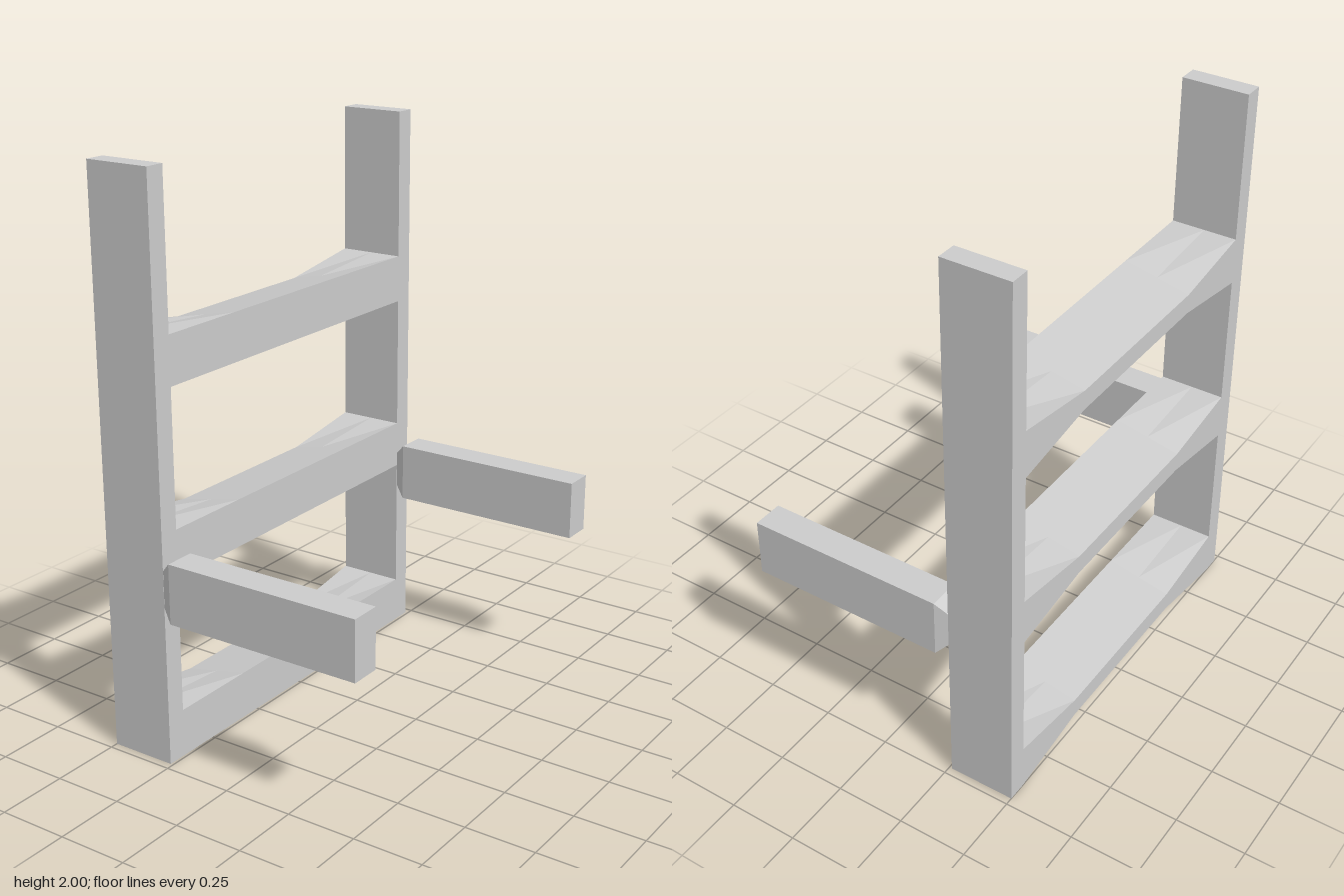
import * as THREE from 'three';

const material = new THREE.MeshStandardMaterial({ color: 0xcccccc, flatShading: true });

function addMesh(parent, name, geometry, x, y, z) {
  const mesh = new THREE.Mesh(geometry, material);
  mesh.name = name;
  mesh.position.set(x, y, z);
  parent.add(mesh);
  return mesh;
}

// Rung: full height along the front, thinning towards the back edge between its ends
function rungGeometry(width, height, length, thinning) {
  const geo = new THREE.BoxGeometry(width, height, length, 2, 1, 4);
  const p = geo.attributes.position;
  for (let i = 0; i < p.count; i++) {
    const atEnd = Math.abs(p.getZ(i)) > length * 0.4;
    const back = 0.5 - p.getX(i) / width;
    if (!atEnd) p.setY(i, p.getY(i) - Math.sign(p.getY(i)) * thinning * back);
  }
  geo.computeVertexNormals();
  return geo;
}

// Neck: box whose inner (-x) end is narrowed to meet the post
function neckGeometry(length, height, depth, innerHeight, innerDepth) {
  const geo = new THREE.BoxGeometry(length, height, depth);
  const p = geo.attributes.position;
  for (let i = 0; i < p.count; i++) {
    if (p.getX(i) > 0) continue;
    p.setY(i, Math.sign(p.getY(i)) * innerHeight / 2);
    p.setZ(i, Math.sign(p.getZ(i)) * innerDepth / 2);
  }
  geo.computeVertexNormals();
  return geo;
}

export function createModel() {
  const model = new THREE.Group();
  model.name = 'rackFrame';

  // Posts and projecting arms, one pair on each side
  for (const [side, s] of [['front', 1], ['back', -1]]) {
    addMesh(model, side + 'Post', new THREE.BoxGeometry(0.24, 2, 0.072), -0.38, 1, s * 0.686);

    const arm = new THREE.Group();
    arm.name = side + 'Arm';
    arm.position.set(0, 0.635, s * 0.686);
    addMesh(arm, 'armBar', new THREE.BoxGeometry(0.72, 0.21, 0.11), 0.14, 0, 0);
    addMesh(arm, 'armNeck', neckGeometry(0.04, 0.21, 0.11, 0.13, 0.07), -0.24, 0, 0);
    model.add(arm);
  }

  // Three rungs joining the posts
  const rung = rungGeometry(0.24, 0.17, 1.3, 0.05);
  ['lowerRung', 'middleRung', 'upperRung'].forEach((name, i) => {
    addMesh(model, name, rung, -0.38, 0.085 + i * 0.65, 0);
  });

  return model;
}
